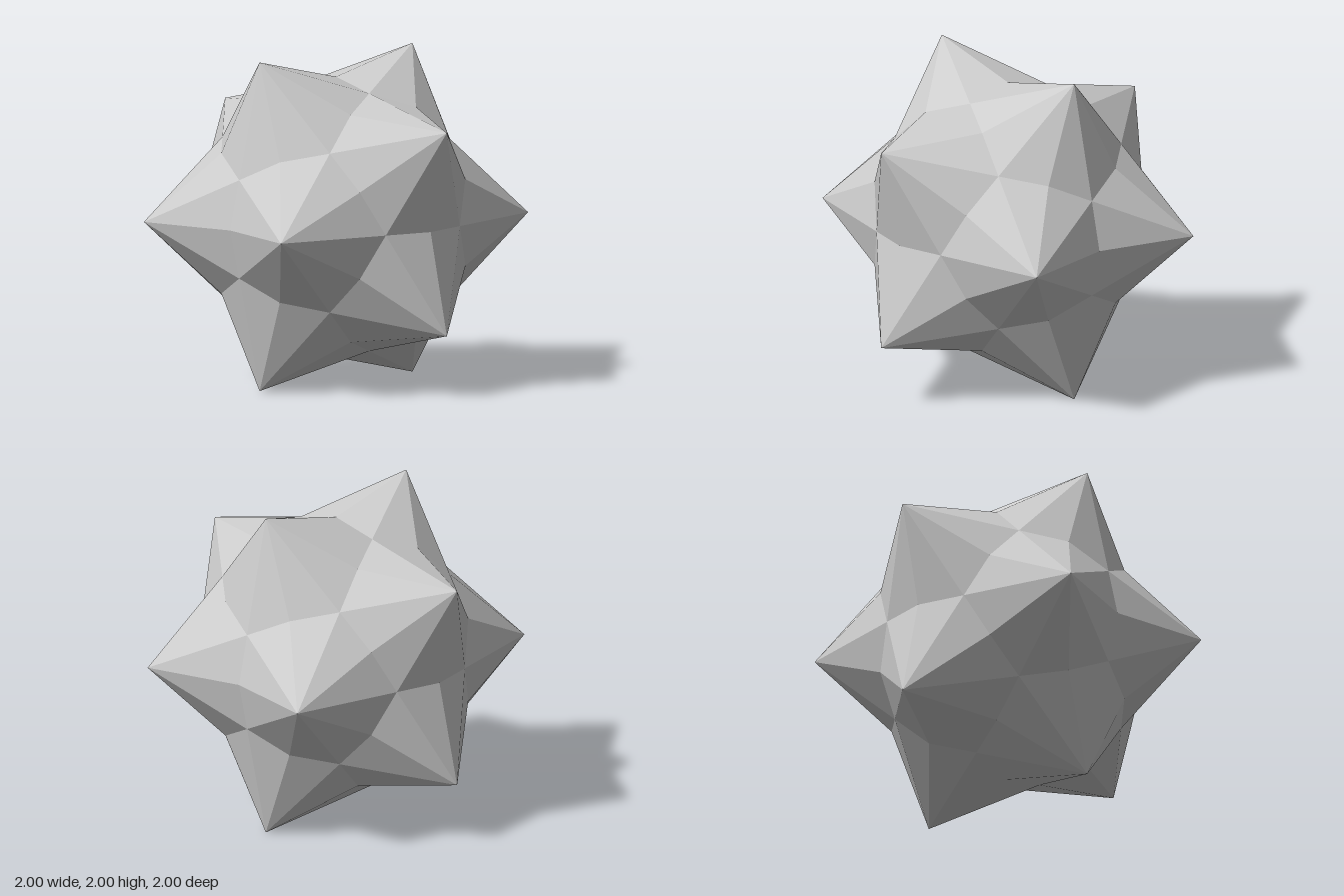
import * as THREE from 'three';

export function createModel() {
  const group = new THREE.Group();
  const grey = new THREE.MeshStandardMaterial({ color: 0xcccccc });
  grey.name = 'light grey';

  // Twelve star tips at the corners of a regular icosahedron
  const g = (Math.sqrt(5) - 1) / 2;
  const tips = [];
  for (const a of [-1, 1]) for (const b of [-g, g]) {
    tips.push(new THREE.Vector3(b, a, 0), new THREE.Vector3(0, b, a), new THREE.Vector3(a, 0, b));
  }

  // Sunken points between neighbouring tips
  const edgeDip = 3 * g - 1; // at the middle of two tips
  const faceDip = 0.8387;    // at the middle of three tips
  const between = (radius, ...pts) => pts
    .reduce((sum, p) => sum.add(p), new THREE.Vector3())
    .setLength(radius);

  const positions = [];
  const normal = new THREE.Vector3(), side = new THREE.Vector3();
  const addTriangle = (a, b, c) => {
    normal.subVectors(b, a).cross(side.subVectors(c, a));
    const corners = normal.dot(a) > 0 ? [a, b, c] : [a, c, b]; // face outward
    for (const p of corners) positions.push(p.x, p.y, p.z);
  };

  // Six facets for every three neighbouring tips
  const near = (p, q) => p.distanceTo(q) < 2 * g + 0.01;
  for (let i = 0; i < 12; i++) for (let j = i + 1; j < 12; j++) for (let k = j + 1; k < 12; k++) {
    const t = [tips[i], tips[j], tips[k]];
    if (!near(t[0], t[1]) || !near(t[1], t[2]) || !near(t[0], t[2])) continue;
    const centre = between(faceDip, ...t);
    for (let n = 0; n < 3; n++) {
      const p = t[n], q = t[(n + 1) % 3];
      const middle = between(edgeDip, p, q);
      addTriangle(p, middle, centre);
      addTriangle(q, middle, centre);
    }
  }

  // Separate corners per facet give flat normals
  const geometry = new THREE.BufferGeometry();
  geometry.setAttribute('position', new THREE.Float32BufferAttribute(positions, 3));
  geometry.computeVertexNormals();

  const star = new THREE.Mesh(geometry, grey);
  star.name = 'starPolyhedron';
  star.position.y = 1;
  group.add(star);
  return group;
}
